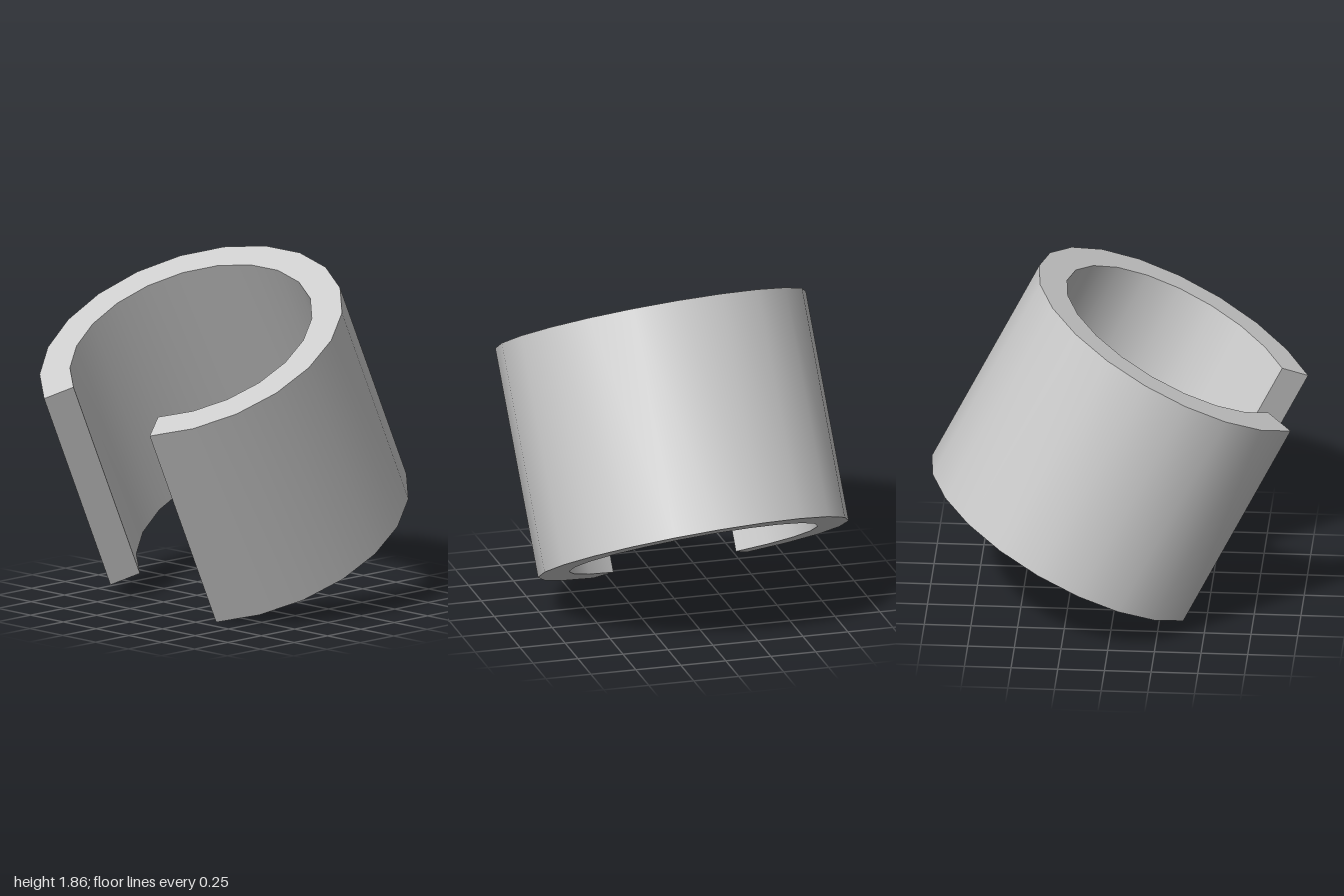
import * as THREE from 'three';
import { toCreasedNormals } from 'three/addons/utils/BufferGeometryUtils.js';

const OUTER = 0.845, INNER = 0.676, SEGMENTS = 18;
const START = -154.4, SPAN = 300; // degrees, leaving a 60 degree gap

function arcPoints(radius) {
  const points = [];
  for (let i = 0; i <= SEGMENTS; i++) {
    const a = THREE.MathUtils.degToRad(START + SPAN * i / SEGMENTS);
    points.push(new THREE.Vector2(radius * Math.cos(a), radius * Math.sin(a)));
  }
  return points;
}

export function createModel() {
  const group = new THREE.Group();
  group.name = 'splitSleeve';

  // Centres of the lower and upper ends of the tilted sleeve
  const bottom = new THREE.Vector3(0.245, 0.37, -0.037);
  const axis = new THREE.Vector3(-0.325, 1.48, 0.037).sub(bottom);
  const length = axis.length();
  axis.normalize();

  // C-shaped section swept along the axis
  const section = new THREE.Shape([...arcPoints(OUTER), ...arcPoints(INNER).reverse()]);
  const solid = new THREE.ExtrudeGeometry(section, { depth: length, bevelEnabled: false });
  const geometry = toCreasedNormals(solid, 0.6);

  // Lean the sleeve over, with the gap towards the low side
  const u = new THREE.Vector3(axis.y, -axis.x, 0).normalize();
  const v = new THREE.Vector3().crossVectors(axis, u);
  geometry.applyMatrix4(new THREE.Matrix4().makeBasis(u, v, axis).setPosition(bottom));

  const sleeve = new THREE.Mesh(geometry, new THREE.MeshStandardMaterial({ color: 0xcccccc }));
  sleeve.name = 'sleeve';
  group.add(sleeve);
  return group;
}
